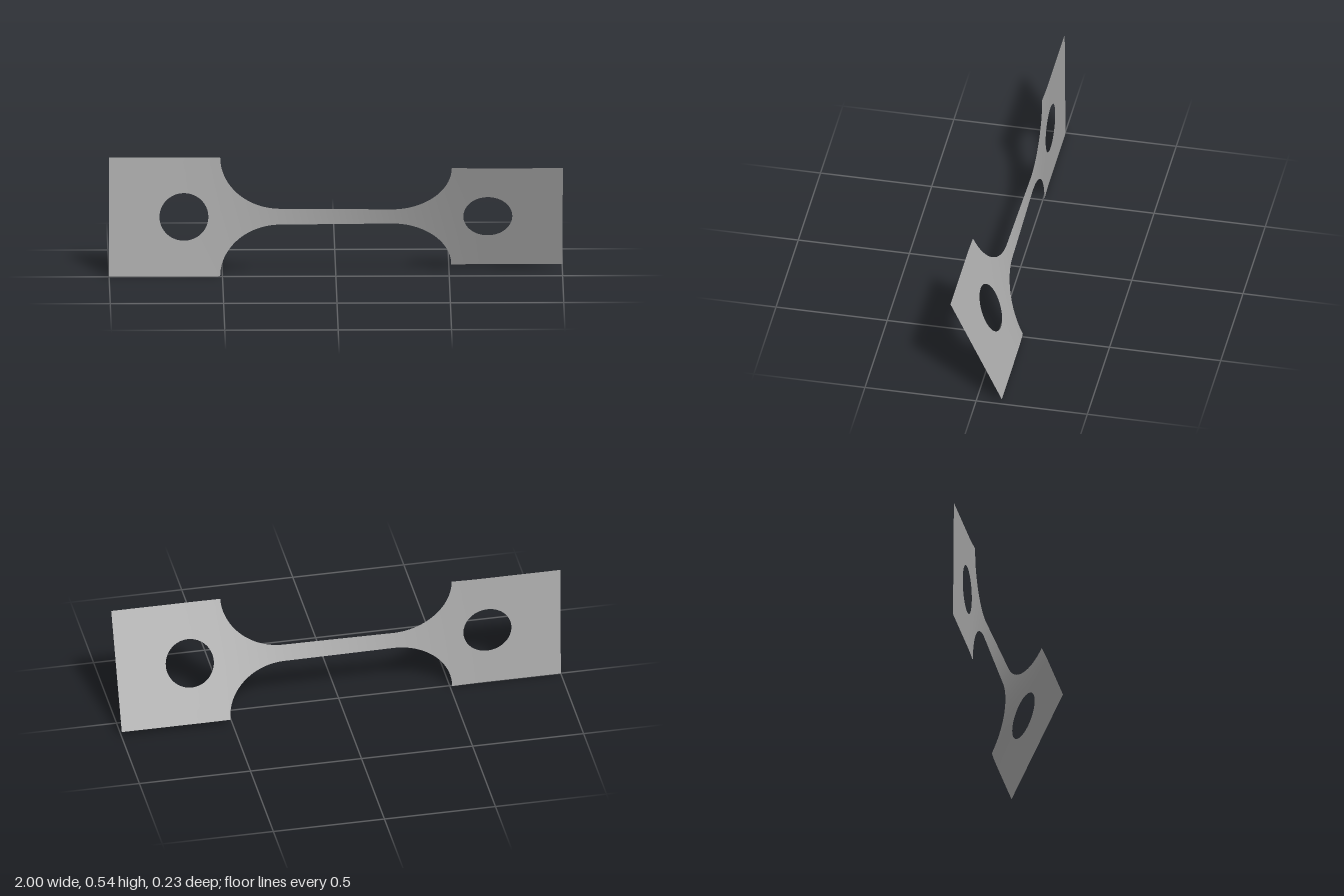
import * as THREE from 'three';

const HALF = 0.271;       // half height of the end plates
const NECK = 0.037;       // half height of the neck
const NECK_END = 0.245;   // where the neck starts to flare
const PLATE_IN = 0.51;    // inner edge of the plates
const HOLE_X = 0.67, HOLE_R = 0.108;
const TWIST_START = THREE.MathUtils.degToRad(0.4);
const TWIST_END = THREE.MathUtils.degToRad(25.2);

// Rolls a point of the flat sheet about the long axis
function twist(x, h) {
  const k = THREE.MathUtils.smoothstep(x, -0.65, 0.65);
  const a = THREE.MathUtils.lerp(TWIST_START, TWIST_END, k);
  return [x, HALF + h * Math.cos(a), h * Math.sin(a)];
}

// Grid surface whose vertices are placed by rule(i, v), v from 0 to 1
function sheet(cols, rows, rule) {
  const geo = new THREE.PlaneGeometry(1, 1, cols, rows);
  const pos = geo.attributes.position;
  for (let j = 0; j <= rows; j++) {
    for (let i = 0; i <= cols; i++) {
      const [x, h] = rule(i, j / rows);
      pos.setXYZ(j * (cols + 1) + i, ...twist(x, h));
    }
  }
  geo.computeVertexNormals();
  return geo;
}

export function createModel() {
  const group = new THREE.Group();
  group.name = 'twistedTestStrip';
  const metal = new THREE.MeshStandardMaterial({ color: 0xb0b0b0, side: THREE.DoubleSide });
  metal.name = 'grey metal';

  const add = (name, geo) => {
    const mesh = new THREE.Mesh(geo, metal);
    mesh.name = name;
    group.add(mesh);
  };

  // Neck with a rounded flare at both ends
  const columns = [];
  const N = 28;
  for (let i = 0; i <= N; i++) {
    const t = (1 - i / N) * Math.PI / 2;
    columns.push([
      -NECK_END - (PLATE_IN - NECK_END) * Math.sin(t),
      HALF - (HALF - NECK) * Math.cos(t),
    ]);
  }
  const mirrored = columns.map(([x, h]) => [-x, h]).reverse();
  for (let i = 1; i < N; i++) columns.push([NECK_END * (2 * i / N - 1), NECK]);
  columns.push(...mirrored);
  add('neck', sheet(columns.length - 1, 8, (i, v) => {
    const [x, h] = columns[i];
    return [x, h * (1 - 2 * v)];
  }));

  // Square end plates, each spread from its round hole to its outline
  const SIDE = 20;
  const corners = [[1, -HALF], [1, HALF], [PLATE_IN, HALF], [PLATE_IN, -HALF]];
  for (const [name, s] of [['leftPlate', 1], ['rightPlate', -1]]) {
    add(name, sheet(SIDE * 4, 10, (i, v) => {
      const a = corners[Math.floor(i / SIDE) % 4];
      const b = corners[(Math.floor(i / SIDE) + 1) % 4];
      const f = (i % SIDE) / SIDE;
      const ox = THREE.MathUtils.lerp(a[0], b[0], f);
      const oy = THREE.MathUtils.lerp(a[1], b[1], f);
      const angle = Math.atan2(oy, ox - HOLE_X);
      const x = THREE.MathUtils.lerp(HOLE_X + HOLE_R * Math.cos(angle), ox, v);
      // Mirroring both axes keeps the winding the same on each side
      return [s * x, s * THREE.MathUtils.lerp(HOLE_R * Math.sin(angle), oy, v)];
    }));
  }
  return group;
}
